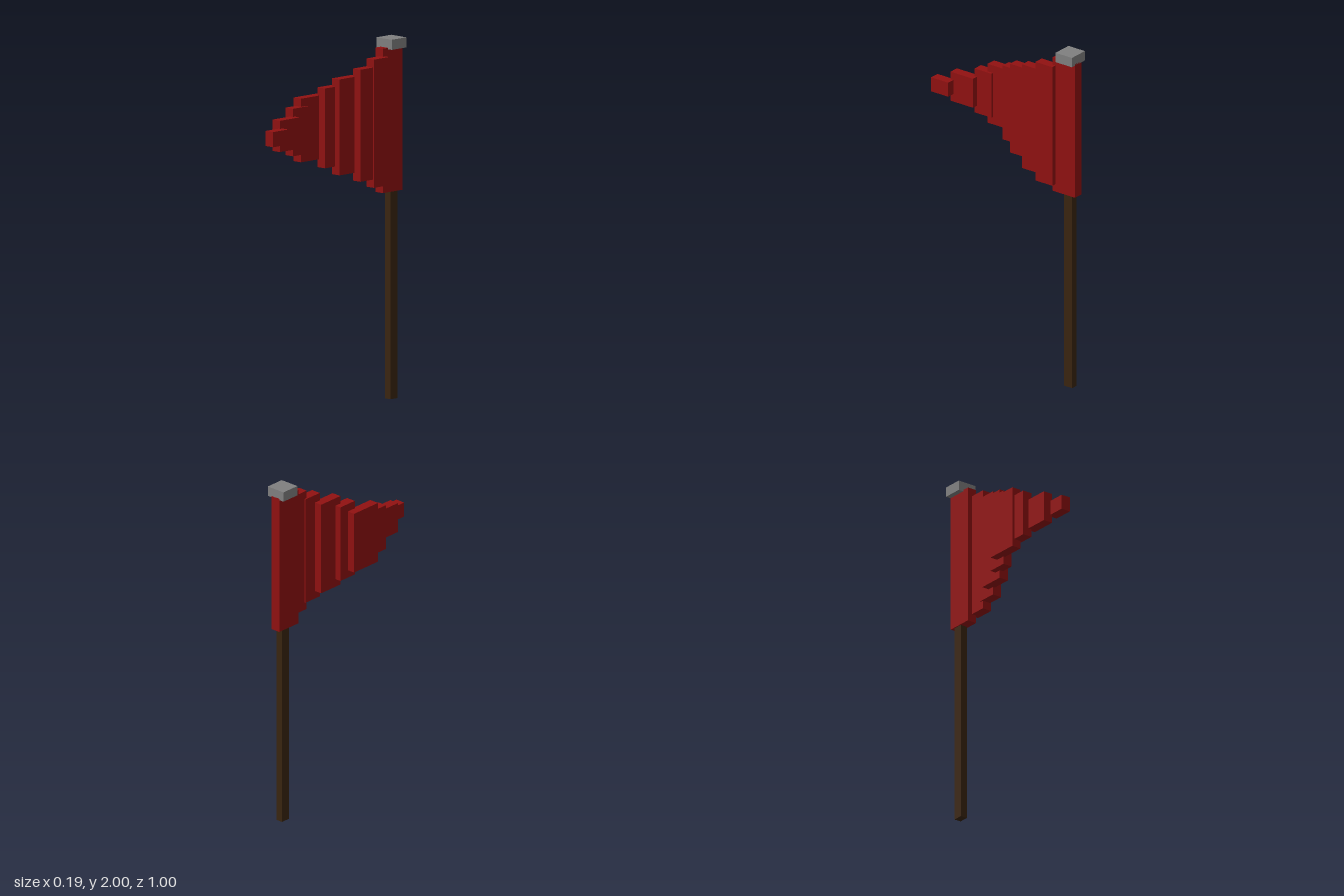
import * as THREE from 'three';

export function createModel() {
  const group = new THREE.Group();
  const red = new THREE.MeshStandardMaterial({ color: 0x911111 });
  const wood = new THREE.MeshStandardMaterial({ color: 0x3a2510 });
  const grey = new THREE.MeshStandardMaterial({ color: 0x808080 });

  const addBox = (name, material, w, h, d, x, y, z) => {
    const mesh = new THREE.Mesh(new THREE.BoxGeometry(w, h, d), material);
    mesh.name = name;
    mesh.position.set(x, y, z);
    group.add(mesh);
  };

  // Pole and its square cap
  addBox('pole', wood, 0.041, 1.95, 0.056, 0.035, 0.975, -0.444);
  addBox('poleCap', grey, 0.116, 0.056, 0.113, 0.036, 1.972, -0.4435);

  // Waving pennant: overlapping strips that shrink evenly towards the tip
  // [centre x, back z, front z]
  const strips = [
    [0.0375, -0.5, -0.346],
    [0.0655, -0.365, -0.248],
    [0.058, -0.266, -0.15],
    [0.0135, -0.188, -0.032],
    [-0.0215, -0.07, 0.046],
    [-0.0675, -0.01, 0.184],
    [-0.0535, 0.146, 0.263],
    [-0.0175, 0.246, 0.401],
    [0.028, 0.382, 0.5],
  ];
  strips.forEach(([x, back, front], i) => {
    const height = 0.8 - i * 0.0895;
    addBox(`flagStrip${i + 1}`, red, 0.057, height, front - back, x, 1.552, (back + front) / 2);
  });

  return group;
}
